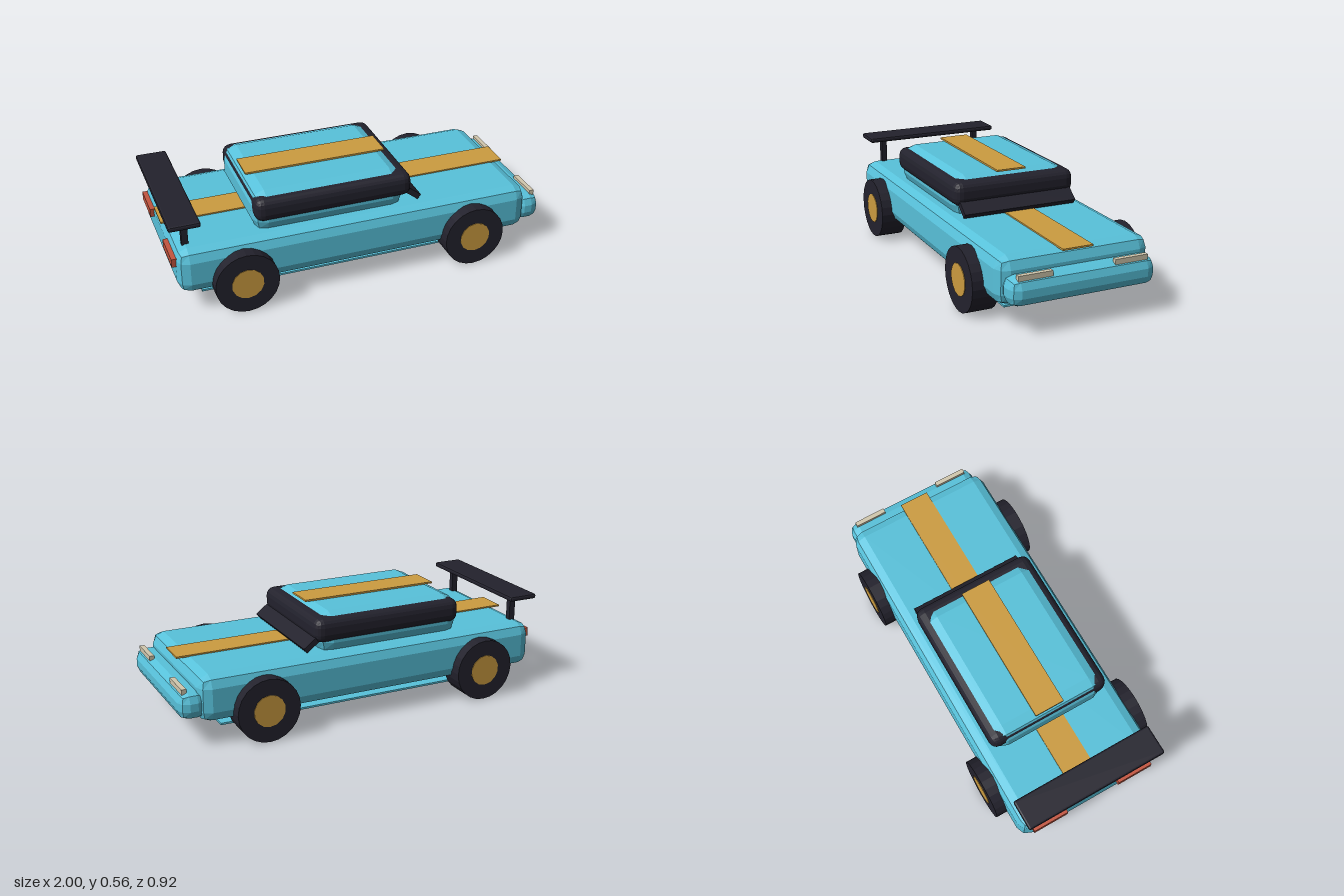
import * as THREE from 'three';
import { RoundedBoxGeometry } from 'three/addons/geometries/RoundedBoxGeometry.js';

const paint = (name, color) => new THREE.MeshStandardMaterial({ name, color, flatShading: true });

export function createModel() {
  const car = new THREE.Group();
  car.name = 'car';

  const blue = paint('bodyBlue', 0x58c2db);
  const dark = paint('rubberBlack', 0x23222d);
  const gold = paint('gold', 0xcc9c40);
  const cream = paint('lampCream', 0xd2c8ae);
  const red = paint('lampRed', 0xc4553f);

  const add = (name, geometry, material, parent = car) => {
    const mesh = new THREE.Mesh(geometry, material);
    mesh.name = name;
    parent.add(mesh);
    return mesh;
  };

  // Box given by its [min, max] range on each axis; a radius rounds its edges
  const block = (name, material, [x0, x1], [y0, y1], [z0, z1], radius = 0, segments = 1) => {
    const size = [x1 - x0, y1 - y0, z1 - z0];
    const geometry = radius
      ? new RoundedBoxGeometry(...size, segments, radius)
      : new THREE.BoxGeometry(...size);
    const mesh = add(name, geometry, material);
    mesh.position.set((x0 + x1) / 2, (y0 + y1) / 2, (z0 + z1) / 2);
    return mesh;
  };

  // Body, nose and floor
  block('body', blue, [-0.97, 0.905], [0.12, 0.36], [-0.4, 0.4], 0.06);
  block('nose', blue, [0.86, 1.0], [0.145, 0.285], [-0.38, 0.38], 0.05);
  block('floorPlate', blue, [-0.845, 0.78], [0.071, 0.081], [-0.315, 0.315]);

  // Cabin with its wraparound window band and sloping windscreen
  block('cabin', blue, [-0.56, 0.24], [0.33, 0.55], [-0.32, 0.32], 0.07);
  block('windowBand', dark, [-0.555, 0.272], [0.405, 0.533], [-0.335, 0.335], 0.045, 2);
  const windscreen = block('windscreen', dark, [0.16, 0.34], [0.417, 0.447], [-0.31, 0.31]);
  windscreen.rotation.z = -0.66;

  // Racing stripes
  block('bodyStripe', gold, [-0.98, 0.913], [0.358, 0.367], [-0.08, 0.08]);
  block('roofStripe', gold, [-0.535, 0.215], [0.552, 0.561], [-0.08, 0.08]);

  // Rear wing
  block('wing', dark, [-1.0, -0.84], [0.488, 0.515], [-0.387, 0.387], 0.01);

  for (const side of [1, -1]) {
    const label = side > 0 ? 'left' : 'right';
    const across = (a, b) => (side > 0 ? [a, b] : [-b, -a]);

    block(label + 'WingPost', dark, [-0.925, -0.892], [0.35, 0.495], across(0.275, 0.305));
    block(label + 'Headlight', cream, [0.953, 0.978], [0.256, 0.3], across(0.163, 0.338));
    block(label + 'Taillight', red, [-0.99, -0.955], [0.267, 0.312], across(0.15, 0.345));

    // Wheels: tyre and a hub that shows on both faces
    for (const [end, x] of [['Front', 0.58], ['Rear', -0.645]]) {
      const wheel = new THREE.Group();
      wheel.name = label + end + 'Wheel';
      wheel.position.set(x, 0.163, side * 0.389);
      wheel.rotation.x = Math.PI / 2;
      add('tyre', new THREE.CylinderGeometry(0.163, 0.163, 0.137, 24), dark, wheel);
      add('hub', new THREE.CylinderGeometry(0.082, 0.082, 0.143, 14), gold, wheel);
      car.add(wheel);
    }
  }

  return car;
}
